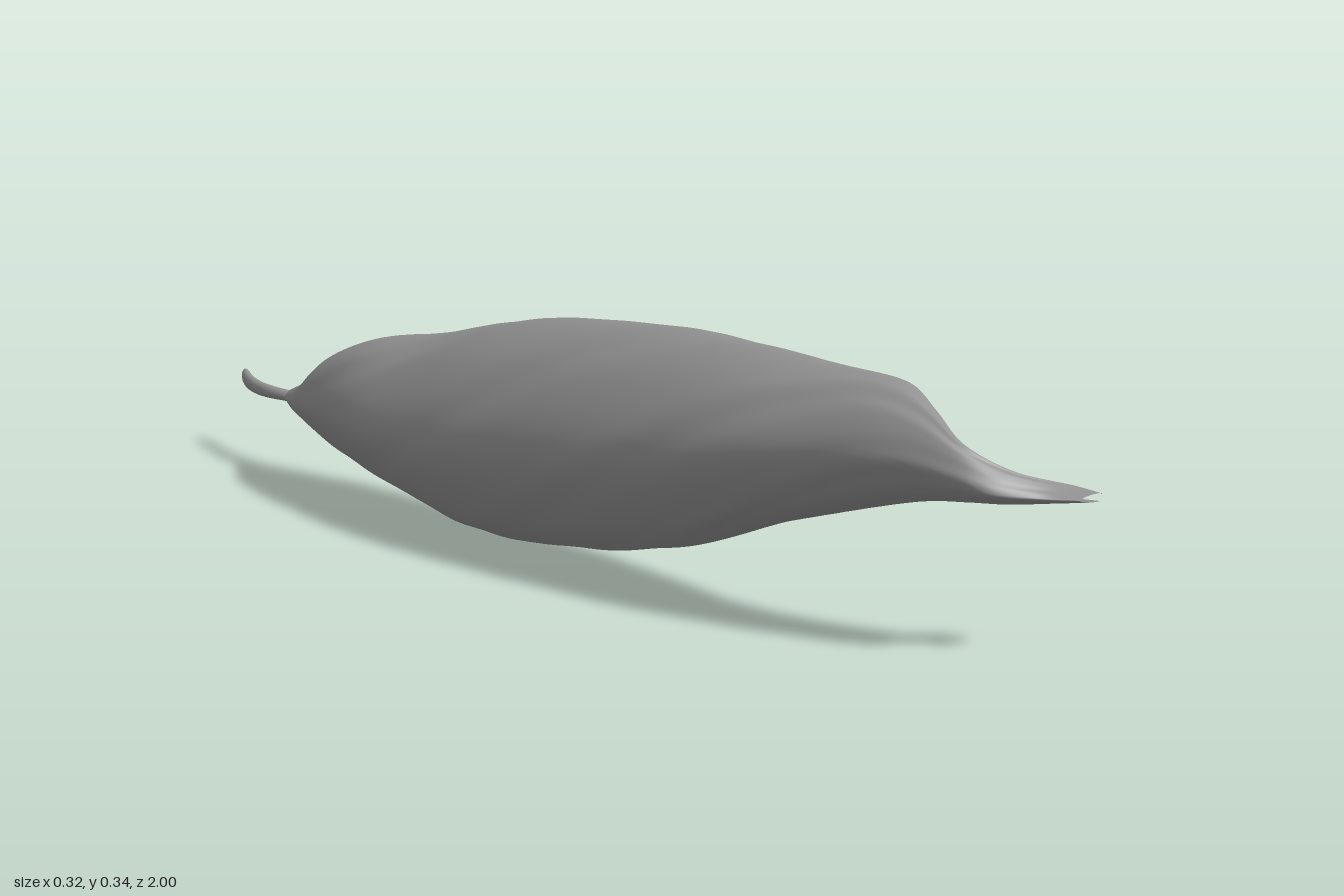
import * as THREE from 'three';

const V = (x, y, z) => new THREE.Vector3(x, y, z);
const lerp = THREE.MathUtils.lerp;

// Blade stations, tip to base: z, back x, low y, high y, upper margin x y, lower margin x y
const STATIONS = [
  [1.00, 0.025, 0.190, 0.200, 0.066, 0.199, 0.064, 0.190],
  [0.97, -0.005, 0.187, 0.206, 0.060, 0.202, 0.060, 0.189],
  [0.93, -0.060, 0.185, 0.225, -0.005, 0.220, 0.022, 0.190],
  [0.88, -0.078, 0.182, 0.255, -0.045, 0.252, 0.005, 0.188],
  [0.82, -0.095, 0.177, 0.290, -0.030, 0.284, -0.010, 0.180],
  [0.75, -0.112, 0.163, 0.315, 0.000, 0.306, -0.024, 0.166],
  [0.60, -0.140, 0.122, 0.326, 0.035, 0.275, -0.034, 0.126],
  [0.40, -0.155, 0.058, 0.339, 0.065, 0.250, -0.020, 0.064],
  [0.15, -0.160, 0.016, 0.336, 0.090, 0.240, 0.008, 0.022],
  [-0.07, -0.148, 0.003, 0.315, 0.110, 0.240, 0.040, 0.028],
  [-0.28, -0.108, 0.024, 0.276, 0.122, 0.243, 0.075, 0.056],
  [-0.45, -0.062, 0.046, 0.250, 0.080, 0.238, 0.092, 0.078],
  [-0.58, -0.018, 0.074, 0.208, 0.070, 0.197, 0.092, 0.100],
  [-0.66, 0.018, 0.095, 0.162, 0.076, 0.154, 0.090, 0.114],
  [-0.73, 0.055, 0.112, 0.138, 0.081, 0.133, 0.086, 0.122],
];

// Eight points of the C-shaped cross-section, open towards +x
function section([z, xm, lo, hi, ux, uy, lx, ly]) {
  const top = lerp(xm, ux, 0.75), bottom = lerp(xm, lx, 0.67);
  const mid = (lo + hi) / 2, height = hi - lo;
  return [
    V(ux, uy, z), V(lerp(top, ux, 0.88), lerp(uy, hi, 0.56), z), V(top, hi, z),
    V(lerp(xm, top, 0.42), mid + height * 0.34, z),
    V(xm, mid - height * 0.05, z),
    V(lerp(xm, bottom, 0.38), mid - height * 0.37, z), V(bottom, lo, z), V(lx, ly, z),
  ];
}

// Smooth sheet through the stations, with faint diagonal wrinkles
function bladeGeometry(rows, cols) {
  const sections = STATIONS.map(section);
  const rails = sections[0].map((_, k) => new THREE.CatmullRomCurve3(sections.map((s) => s[k])));
  const positions = [], indices = [];
  for (let i = 0; i <= rows; i++) {
    const cross = new THREE.CatmullRomCurve3(rails.map((r) => r.getPoint(i / rows)));
    const fade = Math.sin((Math.PI * i) / rows);
    for (let j = 0; j <= cols; j++) {
      const v = j / cols, p = cross.getPoint(v), t = cross.getTangent(v);
      const wave = 0.0009 * fade * (Math.sin(p.z * 24 + v * 46) + 0.6 * Math.sin(p.z * 37 + v * 71));
      positions.push(p.x + t.y * wave, p.y - t.x * wave, p.z);
      if (i < rows && j < cols) {
        const a = i * (cols + 1) + j, b = a + cols + 1;
        indices.push(a, a + 1, b, a + 1, b + 1, b);
      }
    }
  }
  const g = new THREE.BufferGeometry();
  g.setAttribute('position', new THREE.Float32BufferAttribute(positions, 3));
  g.setIndex(indices);
  g.computeVertexNormals();
  return g;
}

// Flattened stalk: wide and thin at the blade, narrow and tall at its rounded end
function stalkGeometry() {
  const path = new THREE.CatmullRomCurve3([
    V(0.073, 0.124, -0.69), V(0.080, 0.122, -0.76), V(0.095, 0.119, -0.83),
    V(0.119, 0.117, -0.91), V(0.140, 0.121, -0.97), V(0.152, 0.130, -1.0),
  ]);
  const rings = 32, sides = 14;
  const g = new THREE.TubeGeometry(path, rings, 1, sides, false);
  const pos = g.attributes.position;
  for (let i = 0; i <= rings; i++) {
    const u = i / rings, c = path.getPointAt(u);
    const end = Math.max(0, 1 - Math.min(u, 1 - u) / 0.07);
    const cap = Math.sqrt(1 - end * end);
    const rx = lerp(0.018, 0.009, u) * cap, ry = lerp(0.008, 0.014, u) * cap;
    for (let j = 0; j <= sides; j++) {
      const a = (j / sides) * Math.PI * 2;
      pos.setXYZ(i * (sides + 1) + j, c.x + rx * Math.cos(a), c.y + ry * Math.sin(a), c.z);
    }
  }
  g.computeVertexNormals();
  return g;
}

export function createModel() {
  const model = new THREE.Group();
  model.name = 'curledLeaf';
  const material = new THREE.MeshStandardMaterial({ color: 0x929292, side: THREE.DoubleSide });
  const add = (name, geometry) => {
    const mesh = new THREE.Mesh(geometry, material);
    mesh.name = name;
    model.add(mesh);
  };
  add('leafBlade', bladeGeometry(160, 64));
  add('leafStalk', stalkGeometry());
  return model;
}
